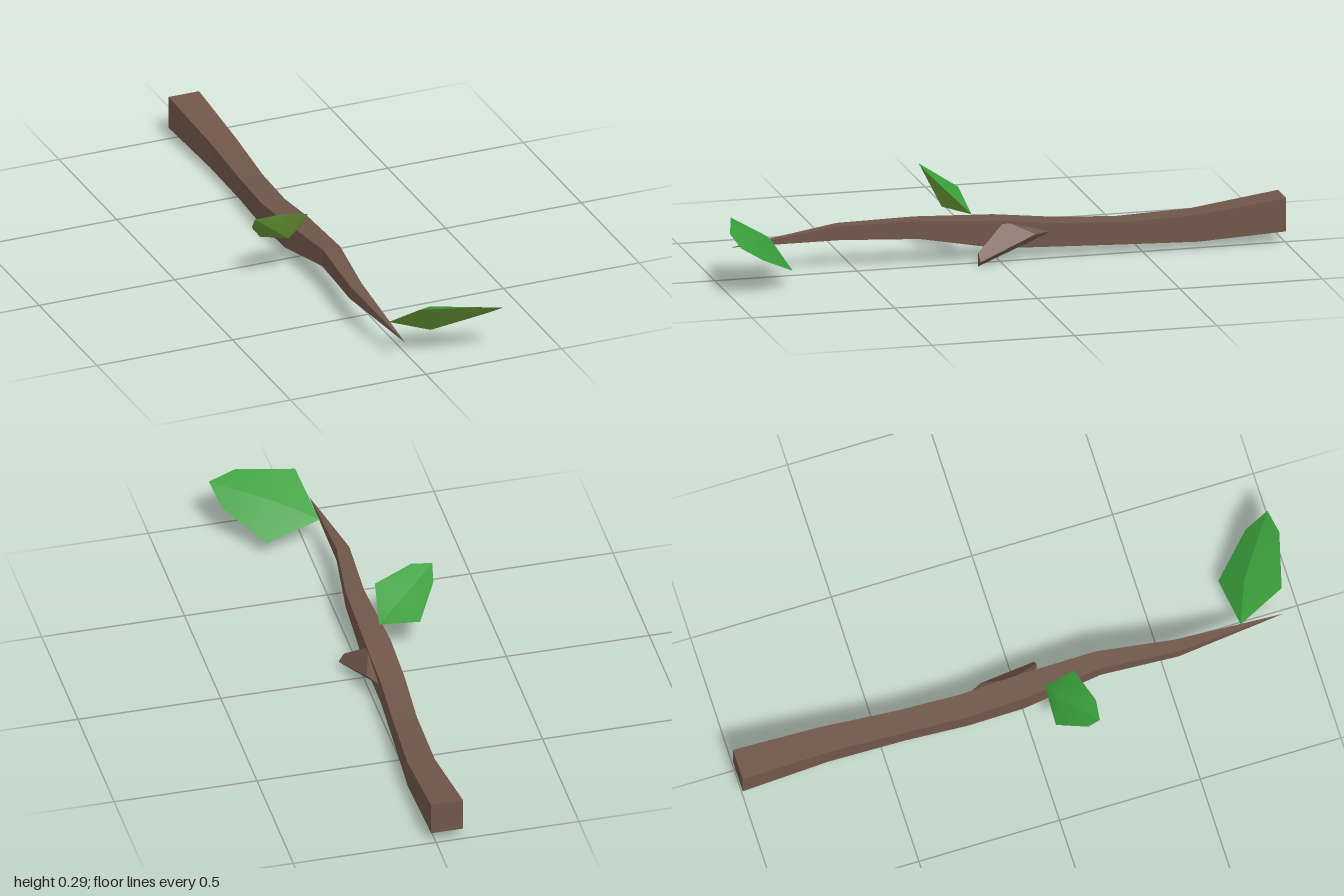
import * as THREE from 'three';
import { ConvexGeometry } from 'three/addons/geometries/ConvexGeometry.js';

const mat = (name, color) => {
  const m = new THREE.MeshStandardMaterial({ color });
  m.name = name;
  return m;
};

// Unshared triangles give every facet its own flat normal
function facets(triangles) {
  const g = new THREE.BufferGeometry();
  g.setAttribute('position', new THREE.Float32BufferAttribute(triangles.flat(2), 3));
  g.computeVertexNormals();
  return g;
}

// Smooth fan from an apex along a row of outline points
function fan(apex, row, flip) {
  const g = new THREE.BufferGeometry();
  g.setAttribute('position', new THREE.Float32BufferAttribute([apex, ...row].flat(), 3));
  const index = [];
  for (let i = 1; i < row.length; i++) index.push(0, ...(flip ? [i + 1, i] : [i, i + 1]));
  g.setIndex(index);
  g.computeVertexNormals();
  return g;
}

function named(name, geometry, material) {
  const mesh = new THREE.Mesh(geometry, material);
  mesh.name = name;
  return mesh;
}

// Crooked four-sided stem: z, x range, y range of each section
function branchGeometry() {
  const sections = [
    [-1, -0.095, 0.017, 0.042, 0.159],
    [-0.69, -0.074, 0.021, 0.028, 0.122],
    [-0.42, -0.08, 0.004, 0.032, 0.11],
    [-0.2, -0.094, -0.008, 0.037, 0.12],
    [0, -0.094, -0.006, 0.045, 0.142],
    [0.28, -0.073, -0.009, 0.096, 0.159],
    [0.55, -0.09, -0.045, 0.101, 0.15],
    [0.935, -0.048, -0.048, 0.1, 0.1],
  ];
  const rings = sections.map(([z, x0, x1, y0, y1]) =>
    [[x0, y0, z], [x1, y0, z], [x1, y1, z], [x0, y1, z]]);
  const tris = [];
  for (let i = 0; i < rings.length - 1; i++) {
    for (let k = 0; k < 4; k++) {
      const n = (k + 1) % 4;
      const [a, b, c, d] = [rings[i][k], rings[i][n], rings[i + 1][n], rings[i + 1][k]];
      tris.push([a, b, c]);
      if (i < rings.length - 2) tris.push([a, c, d]);
    }
  }
  // Cut end
  const [p, q, r, s] = rings[0];
  tris.push([p, r, q], [p, s, r]);
  return facets(tris);
}

// Leaf: two smooth halves meeting at a crease, raised above and keeled below.
// The outline starts at the stalk and has the tip at index 3.
function leaf(name, outline, ridge, keel, topMat, underMat) {
  const group = new THREE.Group();
  group.name = name;
  const halves = [outline.slice(0, 4), [...outline.slice(3), outline[0]]];
  for (const half of halves) {
    group.add(
      named(name + 'Top', fan(ridge, half, false), topMat),
      named(name + 'Underside', fan(keel, half, true), underMat),
    );
  }
  return group;
}

export function createModel() {
  const bark = mat('bark brown', 0x705649);
  const green = mat('leaf green', 0x3aa03c);
  const olive = mat('leaf underside olive', 0x6e9f3a);

  const model = new THREE.Group();
  model.name = 'twig';
  model.add(named('branch', branchGeometry(), bark));

  // Broken side shoot
  const shoot = [
    [0.066, 0.02, 0.085], [0.048, 0.001, 0.09], [0.046, 0.048, 0.088],
    [0.02, 0.093, -0.12], [-0.012, 0.138, -0.02], [-0.012, 0.04, -0.02],
    [-0.014, 0.092, -0.19], [-0.018, 0.06, -0.1],
  ].map((p) => new THREE.Vector3(...p));
  model.add(named('sideShoot', new ConvexGeometry(shoot), bark));

  model.add(leaf('tipLeaf', [
    [-0.045, 0.11, 0.785], [0, 0.22, 0.945], [0.197, 0.216, 0.998],
    [0.292, 0.19, 0.985], [0.268, 0.135, 0.9], [0.145, 0.058, 0.765],
  ], [0.085, 0.168, 0.838], [0.067, 0.104, 0.885], green, olive));

  model.add(leaf('middleLeaf', [
    [-0.075, 0.152, 0.08], [-0.217, 0.143, 0.075], [-0.287, 0.233, 0.168],
    [-0.293, 0.283, 0.208], [-0.222, 0.287, 0.216], [-0.085, 0.252, 0.18],
  ], [-0.16, 0.228, 0.104], [-0.15, 0.165, 0.165], green, olive));

  return model;
}
